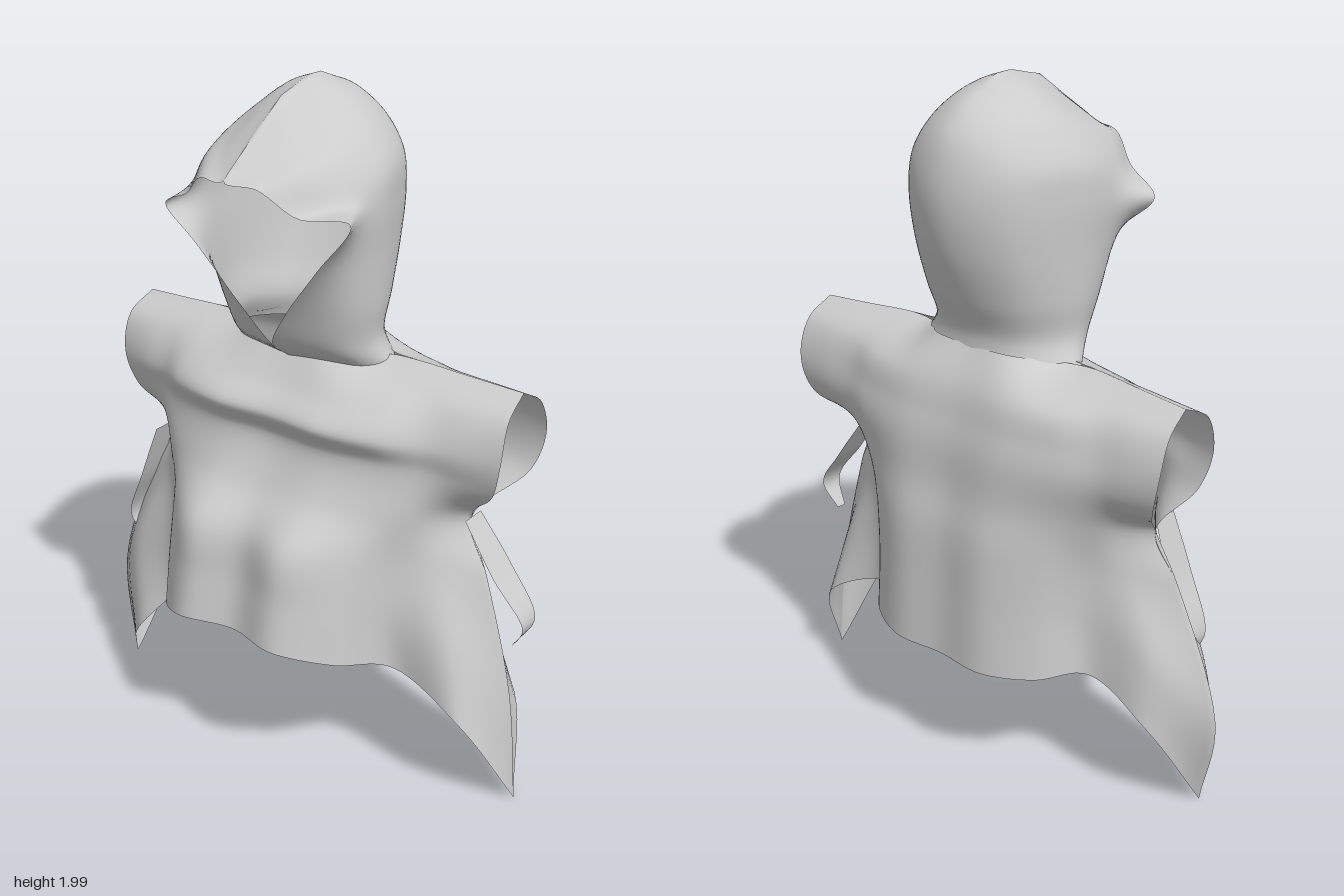
import * as THREE from 'three';
import { mergeGeometries, mergeVertices } from 'three/addons/utils/BufferGeometryUtils.js';

const cloth = new THREE.MeshStandardMaterial({ color: 0xcccccc, side: THREE.DoubleSide });
const V = (x, y, z) => new THREE.Vector3(x, y, z);
const mix = THREE.MathUtils.lerp;

// Smooth sheet through rows of control points, lofted from the first row to the last
function sheet(rows, nu, nv, flip = false) {
  const across = rows.map((r) => new THREE.CatmullRomCurve3(r));
  const pos = [], idx = [];
  for (let i = 0; i <= nu; i++) {
    const column = new THREE.CatmullRomCurve3(across.map((c) => c.getPoint(i / nu)));
    for (let j = 0; j <= nv; j++) pos.push(...column.getPoint(j / nv).toArray());
  }
  for (let i = 0; i < nu; i++) {
    for (let j = 0; j < nv; j++) {
      const a = i * (nv + 1) + j, b = a + nv + 1;
      if (flip) idx.push(a, a + 1, b, b, a + 1, b + 1);
      else idx.push(a, b, a + 1, b, b + 1, a + 1);
    }
  }
  const geo = new THREE.BufferGeometry();
  geo.setAttribute('position', new THREE.Float32BufferAttribute(pos, 3));
  geo.setIndex(idx);
  return geo;
}

// Weld shared seams so that shading flows across them
function clothMesh(name, geos) {
  const geo = mergeVertices(mergeGeometries(geos), 1e-4);
  geo.computeVertexNormals();
  const mesh = new THREE.Mesh(geo, cloth);
  mesh.name = name;
  return mesh;
}

// Hem to shoulder: front y, z | back y, z | flank x, y, zFront, zBack | outer edge x, y, zFront, zBack
const BODY = [
  [0.50, 0.32, 0.40, -0.35, 0.40, 0.41, 0.10, -0.18, 0.72, 0.01, -0.06, -0.06],
  [0.63, 0.295, 0.60, -0.34, 0.39, 0.58, 0.11, -0.18, 0.69, 0.36, -0.05, -0.05],
  [0.78, 0.265, 0.78, -0.33, 0.40, 0.75, 0.09, -0.18, 0.60, 0.70, -0.05, -0.05],
  [0.90, 0.175, 0.90, -0.31, 0.42, 0.88, 0.08, -0.20, 0.53, 0.86, -0.07, -0.07],
  [1.03, 0.125, 1.03, -0.30, 0.45, 1.02, 0.06, -0.24, 0.63, 0.98, 0.00, -0.20],
  [1.11, 0.165, 1.10, -0.285, 0.45, 1.10, 0.07, -0.235, 0.66, 1.09, 0.02, -0.22],
  [1.18, 0.10, 1.19, -0.26, 0.43, 1.20, 0.02, -0.20, 0.66, 1.20, -0.01, -0.18],
  [1.26, 0.04, 1.29, -0.20, 0.33, 1.27, -0.08, -0.08, 0.65, 1.25, -0.10, -0.10],
];

// One half row of the front or back panel, from next to the centre to the outer edge
function halfRow(r, i, front, side) {
  const [y, z] = front ? r : r.slice(2);
  const sx = r[4], sz = r[front ? 6 : 7];
  let sy = r[5], [ex, ey] = r.slice(8), ez = r[front ? 10 : 11];
  let lift = [0.09, 0.04][i] || 0;
  const spread = 0.8 * lift;
  if (side < 0) {
    // the right-hand tail swings forward, its tip turns inward and its front corner droops
    if (i === 0) [ex, ez] = [0.66, 0.01];
    if (i === 0 && front) [sy, lift] = [0.37, 0.015];
    if (i === 1) [ex, ey, ez] = [0.725, 0.32, -0.03];
    if (i > 3) ex -= 0.02;
  }
  const out = front ? 1 : -1;
  const top = i === BODY.length - 1;
  const bulge = top ? -0.01 : i < 3 && front ? 0.035 : 0.008;
  const turn = top ? 0.9 : i < 2 && front ? 0.27 : 0.35;
  return [
    V(side * sx * 0.4, y, z + out * bulge),
    V(side * sx * 0.75, mix(y, sy, top ? 1 : 0.4), mix(z, sz, turn)),
    V(side * sx, sy, sz),
    V(side * ((sx + ex) / 2 + 0.6 * lift), (sy + ey) / 2 + lift, (sz + ez) / 2 + out * spread),
    V(side * ex, ey, ez),
  ];
}

function panel(front) {
  const rows = BODY.map((r, i) => [
    ...halfRow(r, i, front, -1).reverse(),
    V(0, r[front ? 0 : 2], r[front ? 1 : 3]),
    ...halfRow(r, i, front, 1),
  ]);
  return sheet(rows, 80, 56, !front);
}

// Neck to crown: rim x, y, z | side x, y, z | back y, z
const HOOD = [
  [0, 1.24, 0.045, 0.26, 1.25, -0.07, 1.26, -0.205],
  [0, 1.30, 0.125, 0.235, 1.32, -0.04, 1.33, -0.205],
  [0.08, 1.42, 0.17, 0.245, 1.43, -0.04, 1.43, -0.25],
  [0.20, 1.57, 0.20, 0.25, 1.57, -0.05, 1.57, -0.30],
  [0.31, 1.72, 0.21, 0.255, 1.70, -0.05, 1.70, -0.32],
  [0.18, 1.72, 0.25, 0.245, 1.79, -0.05, 1.80, -0.31],
  [0.09, 1.79, 0.30, 0.19, 1.875, -0.05, 1.88, -0.28],
  [0, 1.80, 0.32, 0.125, 1.935, -0.05, 1.95, -0.21],
  [0, 1.90, 0.18, 0.065, 1.975, -0.05, 1.98, -0.14],
  [0, 1.97, 0.08, 0, 2.0, -0.04, 2.0, -0.09],
];

function hoodHalf([rx, ry, rz, sx, sy, sz, by, bz], i, side) {
  if (side < 0 && i === 4) [rx, ry] = [0.29, 1.66];
  return [
    V(side * rx, ry, rz),
    V(side * mix(rx, sx, 0.8), mix(sy, ry, 0.6), mix(sz, rz, 0.6)),
    V(side * sx, sy, sz),
    V(side * sx * 0.66, (sy + by) / 2, mix(sz, bz, 0.74)),
  ];
}

function hood() {
  const nu = 72, nv = 60;
  const geo = sheet(HOOD.map((r, i) => [
    ...hoodHalf(r, i, 1),
    V(0, r[6], r[7]),
    ...hoodHalf(r, i, -1).reverse(),
  ]), nu, nv);
  // close the centre seam above the brim and below the chin
  const p = geo.attributes.position;
  for (let j = 0; j <= nv; j++) {
    const last = nu * (nv + 1) + j;
    p.setX(j, Math.max(0, p.getX(j)));
    p.setX(last, Math.min(0, p.getX(last)));
  }
  return geo;
}

// Tapered strip hanging from the bottom of an armhole
function ribbon(path, z) {
  const rows = path.map(([x, y], i) => {
    const w = [0.04, 0.05, 0.035, 0.015][i];
    return [V(x, y, z + w), V(x, y, z - w)];
  });
  return sheet(rows, 4, 24);
}

export function createModel() {
  const group = new THREE.Group();
  group.name = 'hoodedPoncho';
  group.add(
    clothMesh('ponchoBody', [panel(true), panel(false)]),
    clothMesh('hood', [hood()]),
    clothMesh('leftStrap', [ribbon([[0.54, 0.87], [0.64, 0.73], [0.73, 0.6], [0.69, 0.52]], -0.06)]),
    clothMesh('rightStrap', [ribbon([[-0.51, 0.87], [-0.57, 0.7], [-0.635, 0.54], [-0.61, 0.47]], 0.0)]),
  );
  return group;
}
